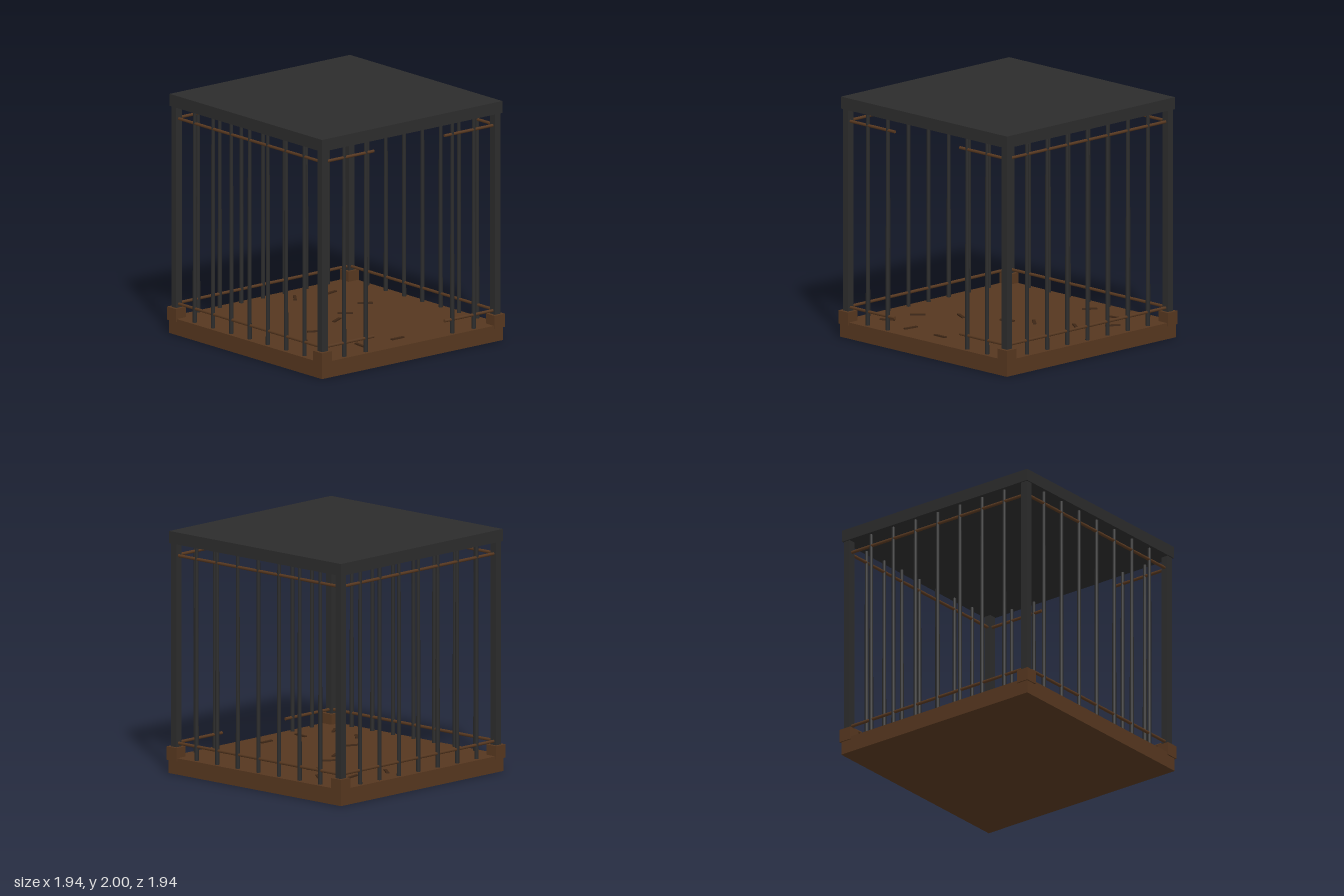
import * as THREE from 'three';

export function createModel() {
  const model = new THREE.Group();
  model.name = 'cage';
  const iron = new THREE.MeshStandardMaterial({ color: 0x2c2c2c });
  iron.name = 'dark iron';
  const wood = new THREE.MeshStandardMaterial({ color: 0x56371f });
  wood.name = 'brown wood';
  const straw = new THREE.MeshStandardMaterial({ color: 0x3e2716 });
  straw.name = 'dark straw';

  const add = (parent, name, geometry, material, x, y, z) => {
    const mesh = new THREE.Mesh(geometry, material);
    mesh.name = name;
    mesh.position.set(x, y, z);
    parent.add(mesh);
    return mesh;
  };

  const EDGE = 0.915; // distance of the bar planes from the centre
  const FLOOR = 0.135;
  const ROOF = 1.9;

  // Base and roof slabs
  add(model, 'base', new THREE.BoxGeometry(1.92, FLOOR, 1.92), wood, 0, FLOOR / 2, 0);
  add(model, 'roof', new THREE.BoxGeometry(1.91, 0.1, 1.91), iron, 0, 1.95, 0);

  // Corner posts in wooden feet
  const postGeo = new THREE.BoxGeometry(0.06, ROOF - FLOOR, 0.06);
  const footGeo = new THREE.BoxGeometry(0.11, 0.11, 0.11);
  for (const sx of [-1, 1]) {
    for (const sz of [-1, 1]) {
      add(model, 'cornerPost', postGeo, iron, sx * EDGE, (ROOF + FLOOR) / 2, sz * EDGE);
      add(model, 'cornerFoot', footGeo, wood, sx * EDGE, 0.165, sz * EDGE);
    }
  }

  // Four barred sides; the front keeps its middle open as a doorway
  const barGeo = new THREE.CylinderGeometry(0.0145, 0.0175, ROOF - FLOOR, 8);
  const railGeo = (length) => new THREE.CylinderGeometry(0.013, 0.013, length, 8).rotateZ(Math.PI / 2);
  const fullRail = railGeo(1.8);
  const shortRail = railGeo(0.53);
  ['front', 'left', 'back', 'right'].forEach((side, i) => {
    const wall = new THREE.Group();
    wall.name = side + 'Wall';
    wall.rotation.y = i * Math.PI / 2;
    model.add(wall);
    const open = side === 'front';
    for (let k = -3; k <= 3; k++) {
      if (open && Math.abs(k) < 2) continue;
      add(wall, 'bar', barGeo, iron, k * 0.229, (ROOF + FLOOR) / 2, EDGE);
    }
    for (const y of [0.25, 1.8]) {
      if (open) {
        for (const s of [-1, 1]) add(wall, 'shortRail', shortRail, wood, s * 0.64, y, EDGE);
      } else {
        add(wall, 'rail', fullRail, wood, 0, y, EDGE);
      }
    }
  });

  // Straw scattered on the floor: x, z, turn
  const strawGeo = new THREE.BoxGeometry(0.125, 0.012, 0.025);
  const pieces = [
    [0.19, -0.74, 0.92], [-0.65, 0.385, 0.8], [-0.37, 0.17, -0.45],
    [-0.7, 0.68, 0.6], [-0.37, 0.74, 1.45], [0, 0.77, 0],
    [0, 0.01, 0.45], [0.19, -0.11, -0.7], [0.72, -0.48, 0.9],
    [0.52, -0.25, -0.6], [0.52, -0.68, 0.2],
  ];
  for (const [x, z, turn] of pieces) {
    add(model, 'straw', strawGeo, straw, x, FLOOR + 0.005, z).rotation.y = turn;
  }
  return model;
}
